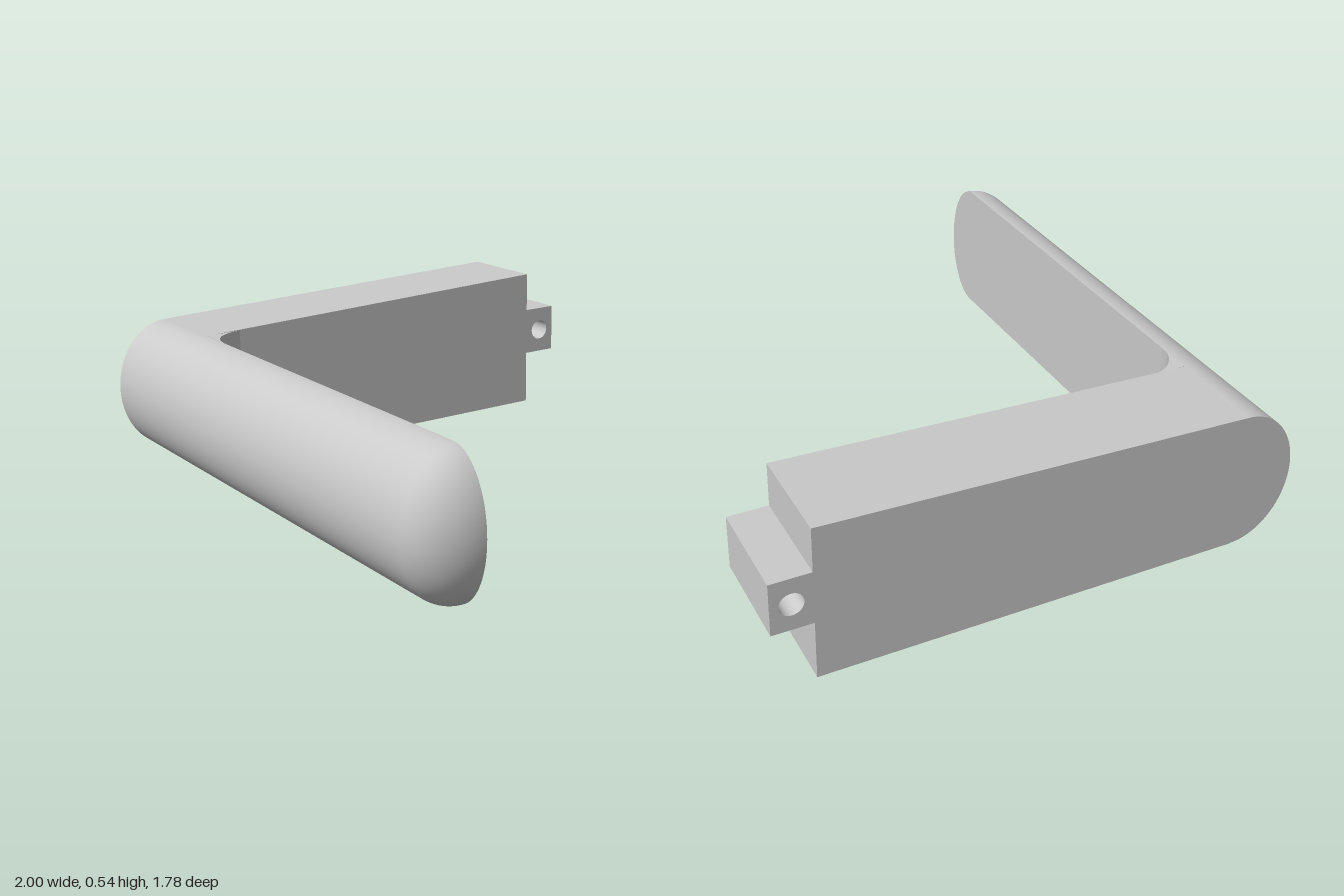
import * as THREE from 'three';

export function createModel() {
  const group = new THREE.Group();
  const grey = new THREE.MeshStandardMaterial({ color: 0xcacaca });
  grey.name = 'grey';

  const add = (name, geometry) => {
    const mesh = new THREE.Mesh(geometry, grey);
    mesh.name = name;
    group.add(mesh);
  };

  // Grip section: half ellipse of half-height RY and depth RZ, with an end of length RX
  const RX = 0.16, RY = 0.243, RZ = 0.198, CY = 0.248, BACK = 0.694, END = 1 - RX;

  // Rounded front of the grip
  add('gripFront', new THREE.CylinderGeometry(1, 1, 1 + END, 48, 1, true, -Math.PI / 2, Math.PI)
    .rotateZ(Math.PI / 2).scale(1, RY, RZ).translate((END - 1) / 2, CY, BACK));

  // Domed free end of the grip
  add('gripEnd', new THREE.SphereGeometry(1, 24, 48, Math.PI / 2, Math.PI / 2)
    .scale(RX, RY, RZ).translate(END, CY, BACK));

  // Flat back of the grip, drawn mirrored and turned to face backwards
  const back = new THREE.Shape();
  back.moveTo(1, CY + RY);
  back.lineTo(-END, CY + RY);
  back.absellipse(-END, CY, RX, RY, Math.PI / 2, Math.PI * 1.5, false);
  back.lineTo(1, CY - RY);
  add('gripBack', new THREE.ShapeGeometry(back, 48).rotateY(Math.PI).translate(0, 0, BACK));

  // Flat side of the grip, flush with the arm
  const side = new THREE.Shape();
  side.absellipse(BACK, CY, RZ, RY, -Math.PI / 2, Math.PI / 2, false);
  add('gripSide', new THREE.ShapeGeometry(side, 48).rotateY(-Math.PI / 2).translate(-1, 0, 0));

  // Tapered arm with a pierced tab, as a side profile in z and y
  const profile = new THREE.Shape([
    [BACK, 0.003], [BACK, 0.491], [-0.758, 0.541], [-0.758, 0.39],
    [-0.892, 0.39], [-0.892, 0.207], [-0.758, 0.207], [-0.758, 0],
  ].map(([z, y]) => new THREE.Vector2(z, y)));
  profile.holes.push(new THREE.Path().absarc(-0.825, 0.298, 0.039, 0, Math.PI * 2, true));
  add('armWithTab', new THREE.ExtrudeGeometry(profile, { depth: 0.34, bevelEnabled: false, curveSegments: 32 })
    .rotateY(-Math.PI / 2).translate(-0.66, 0, 0));

  // Faceted fillet in the inside corner between arm and grip
  const R = 0.13, corner = new THREE.Shape();
  corner.moveTo(-0.66, -BACK);
  corner.lineTo(-0.66 + R, -BACK);
  corner.absarc(-0.66 + R, -BACK + R, R, -Math.PI / 2, -Math.PI, true);
  add('cornerFillet', new THREE.ExtrudeGeometry(corner, { depth: 0.488, bevelEnabled: false, curveSegments: 3 })
    .rotateX(-Math.PI / 2).translate(0, 0.004, 0));

  return group;
}
